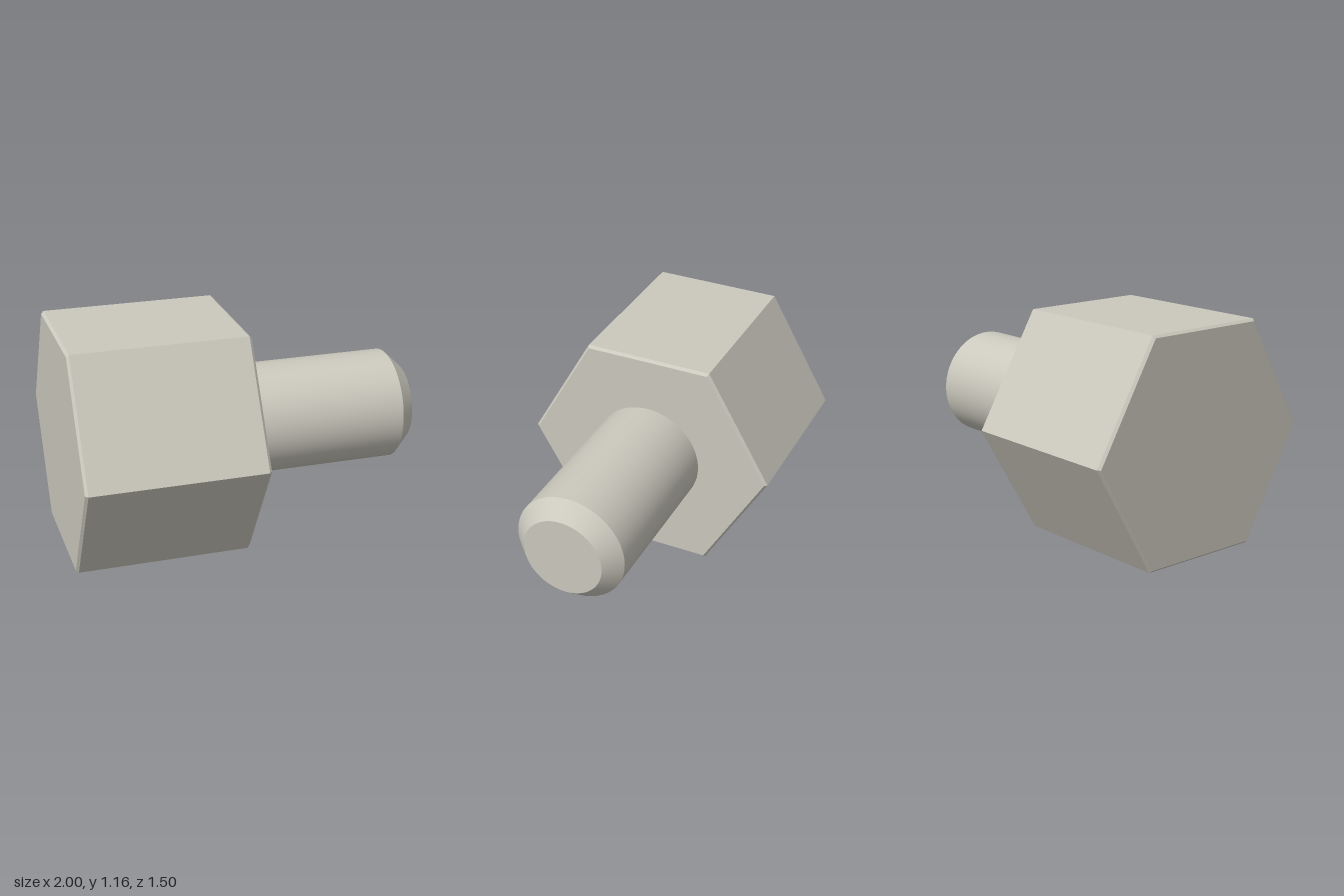
import * as THREE from 'three';
import { toCreasedNormals } from 'three/addons/utils/BufferGeometryUtils.js';

const FLATS = 1.165;                                // hexagon width across flats
const HEX_R = FLATS / 2 / Math.cos(Math.PI / 6);    // hexagon corner radius
const HEX_LEN = 0.917, TOTAL_LEN = 1.856;
const EDGE = 0.014;                                 // small bevel around the hexagon
const PIN_R = 0.29, PIN_TIP_R = 0.21;
const BORE_R = 0.24, SINK_R = 0.31, SINK_DEPTH = 0.07, BORE_DEPTH = 0.72;

// Revolve a profile about the part's axis (local y), keeping hard edges sharp
function revolve(profile, sides) {
  const points = profile.map(([r, y]) => new THREE.Vector2(r, y));
  return toCreasedNormals(new THREE.LatheGeometry(points, sides), 0.5);
}

export function createModel() {
  const metal = new THREE.MeshStandardMaterial({ color: 0xcbc8bd });
  metal.name = 'warm grey metal';

  const standoff = new THREE.Group();
  standoff.name = 'standoff';
  const add = (name, geometry) => {
    const mesh = new THREE.Mesh(geometry, metal);
    mesh.name = name;
    standoff.add(mesh);
  };

  // Six-sided body with bevelled rims and a closed front face
  add('hexBody', revolve([
    [HEX_R - EDGE, 0], [HEX_R, EDGE],
    [HEX_R, HEX_LEN - EDGE], [HEX_R - EDGE, HEX_LEN], [0, HEX_LEN],
  ], 6));

  // Back face: hexagon with a round opening
  const face = new THREE.Shape();
  for (let i = 0; i < 6; i++) {
    const a = Math.PI / 2 + i * Math.PI / 3, r = HEX_R - EDGE;
    face[i ? 'lineTo' : 'moveTo'](r * Math.cos(a), r * Math.sin(a));
  }
  face.closePath();
  face.holes.push(new THREE.Path().absarc(0, 0, SINK_R, 0, Math.PI * 2, true));
  add('backFace', new THREE.ShapeGeometry(face, 64).rotateX(Math.PI / 2));

  // Countersunk blind bore, facing inward
  add('bore', revolve([
    [0, BORE_DEPTH], [BORE_R, BORE_DEPTH], [BORE_R, SINK_DEPTH], [SINK_R, 0],
  ], 64));

  // Round pin with a chamfered tip
  add('pin', revolve([
    [PIN_R, HEX_LEN], [PIN_R, TOTAL_LEN - 0.085],
    [PIN_TIP_R, TOTAL_LEN], [0, TOTAL_LEN],
  ], 64));

  // Lay the axis along +x, then swing it towards the front
  standoff.rotation.z = -Math.PI / 2;
  const model = new THREE.Group();
  model.name = 'hexStandoff';
  const swing = new THREE.Group();
  swing.name = 'swing';
  swing.add(standoff);
  swing.rotation.y = -THREE.MathUtils.degToRad(12);
  swing.position.set(-0.862, FLATS / 2, -0.096);
  model.add(swing);
  return model;
}
